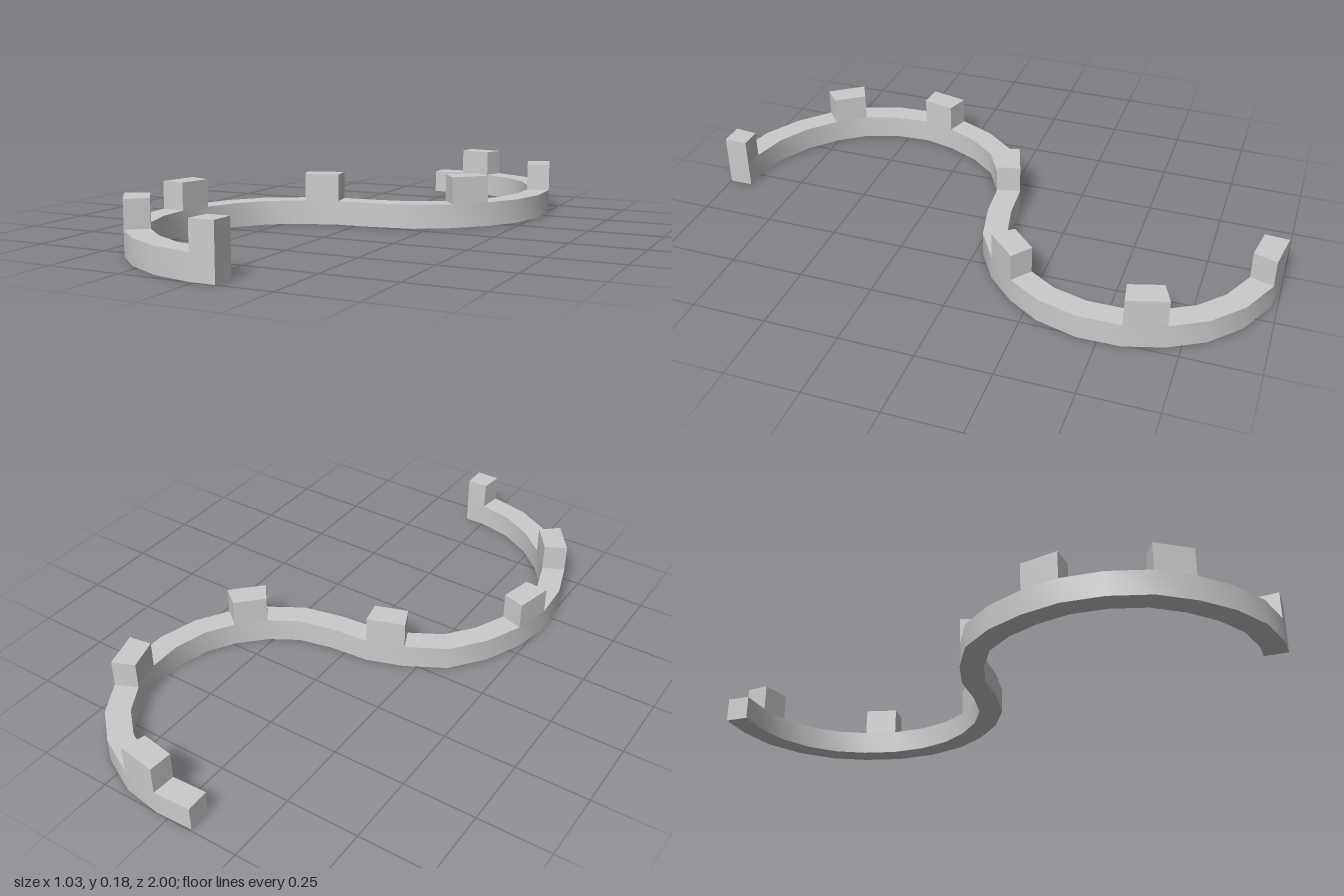
import * as THREE from 'three';
import { toCreasedNormals } from 'three/addons/utils/BufferGeometryUtils.js';

const HALF = 0.04, WALL_TOP = 0.083, MERLON_TOP = 0.176;

// Centre line of the S, as [x, z] from the back end to the front end
const PATH = [
  [-0.083, -0.955], [0.041, -0.96], [0.164, -0.94], [0.285, -0.88], [0.375, -0.795],
  [0.434, -0.69], [0.47, -0.57], [0.472, -0.44], [0.438, -0.315], [0.377, -0.217],
  [0.29, -0.128], [0.185, -0.065], [0.055, -0.037], [-0.075, -0.027], [-0.193, 0.013],
  [-0.312, 0.08], [-0.393, 0.183], [-0.445, 0.3], [-0.473, 0.42], [-0.465, 0.55],
  [-0.425, 0.675], [-0.35, 0.778], [-0.255, 0.865], [-0.138, 0.93], [-0.008, 0.96],
  [0.07, 0.96],
].map(([x, z]) => new THREE.Vector2(x, z));

// Mitred sideways offset at each path point
const OFFSETS = PATH.map((p, i) => {
  const side = (a, b) => {
    const d = b.clone().sub(a).normalize();
    return new THREE.Vector2(d.y, -d.x);
  };
  const before = side(PATH[Math.max(i - 1, 0)], PATH[Math.max(i, 1)]);
  const last = PATH.length - 1;
  const after = side(PATH[Math.min(i, last - 1)], PATH[Math.min(i + 1, last)]);
  const n = before.clone().add(after).normalize();
  return n.multiplyScalar(HALF / n.dot(after));
});

// Rectangular section swept along the path from point i0 to i1
function sweep(i0, i1, y0, y1) {
  const pos = [], index = [];
  for (let i = i0; i <= i1; i++) {
    const p = PATH[i], n = OFFSETS[i];
    for (const [s, y] of [[1, y0], [1, y1], [-1, y1], [-1, y0]]) {
      pos.push(p.x + s * n.x, y, p.y + s * n.y);
    }
  }
  const quad = (a, b, c, d) => index.push(a, b, c, a, c, d);
  const count = i1 - i0;
  for (let i = 0; i < count; i++) {
    for (let k = 0; k < 4; k++) {
      const a = i * 4 + k, b = i * 4 + (k + 1) % 4;
      quad(a, b, b + 4, a + 4);
    }
  }
  quad(0, 3, 2, 1);
  const e = count * 4;
  quad(e, e + 1, e + 2, e + 3);
  const g = new THREE.BufferGeometry();
  g.setAttribute('position', new THREE.Float32BufferAttribute(pos, 3));
  g.setIndex(index);
  return toCreasedNormals(g, Math.PI / 5);
}

export function createModel() {
  const group = new THREE.Group();
  group.name = 'curvedBattlement';
  const material = new THREE.MeshStandardMaterial({ color: 0xcccccc });
  const add = (name, geometry) => {
    const mesh = new THREE.Mesh(geometry, material);
    mesh.name = name;
    group.add(mesh);
  };

  // Low S-shaped wall
  add('wall', sweep(0, PATH.length - 1, 0, WALL_TOP));

  // Raised blocks, each one path segment long
  [1, 5, 9, 13, 17, 20, 24].forEach((start, i) => {
    add('merlon' + (i + 1), sweep(start, start + 1, WALL_TOP, MERLON_TOP));
  });
  return group;
}
